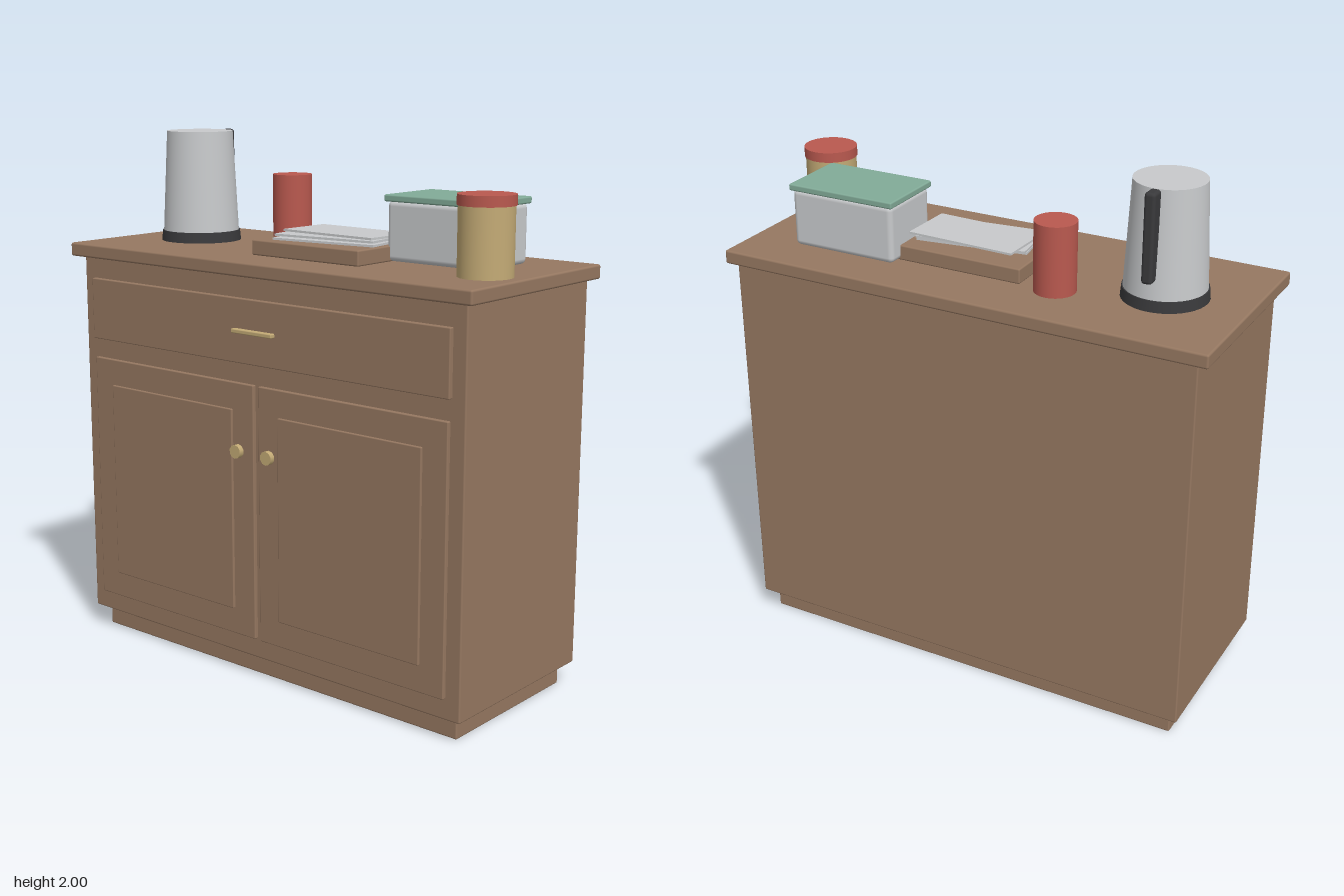
import * as THREE from 'three';
import { RoundedBoxGeometry } from 'three/addons/geometries/RoundedBoxGeometry.js';

const mat = (name, color) => {
  const m = new THREE.MeshStandardMaterial({ color });
  m.name = name;
  return m;
};

export function createModel() {
  const wood = mat('wood', 0x967861);
  const brass = mat('brass', 0xc4ab76);
  const steel = mat('pale grey', 0xc8cacc);
  const dark = mat('dark plastic', 0x3a3a3c);
  const red = mat('red', 0xb9594f);
  const green = mat('green', 0x82ab98);

  const model = new THREE.Group();
  model.name = 'sideboard';

  const add = (parent, name, geometry, material, x, y, z) => {
    const mesh = new THREE.Mesh(geometry, material);
    mesh.name = name;
    mesh.position.set(x, y, z);
    parent.add(mesh);
    return mesh;
  };
  const group = (name) => {
    const g = new THREE.Group();
    g.name = name;
    model.add(g);
    return g;
  };
  // Box given by its limits on each axis, with softened edges
  const slab = (parent, name, material, [x0, x1], [y0, y1], [z0, z1], r = 0.006) => {
    const size = [x1 - x0, y1 - y0, z1 - z0];
    const geometry = r ? new RoundedBoxGeometry(...size, 2, r) : new THREE.BoxGeometry(...size);
    return add(parent, name, geometry, material, (x0 + x1) / 2, (y0 + y1) / 2, (z0 + z1) / 2);
  };
  // Upright cylinder or cone between two heights
  const drum = (parent, name, material, rTop, rBottom, y0, y1, x, z) =>
    add(parent, name, new THREE.CylinderGeometry(rTop, rBottom, y1 - y0, 40), material, x, (y0 + y1) / 2, z);

  // Cabinet carcass
  const cabinet = group('cabinet');
  slab(cabinet, 'plinth', wood, [-0.87, 0.87], [0, 0.09], [-0.335, 0.315]);
  slab(cabinet, 'body', wood, [-0.91, 0.91], [0.083, 1.525], [-0.375, 0.357]);
  slab(cabinet, 'worktop', wood, [-0.95, 0.95], [1.523, 1.575], [-0.395, 0.395], 0.008);

  // Drawer with bar handle
  slab(cabinet, 'drawerFront', wood, [-0.855, 0.855], [1.205, 1.442], [0.35, 0.375], 0.004);
  slab(cabinet, 'drawerHandle', brass, [-0.097, 0.097], [1.317, 1.333], [0.37, 0.395], 0.004);

  // Mirrored doors with raised panels and knobs
  for (const side of [-1, 1]) {
    const door = group(side > 0 ? 'leftDoor' : 'rightDoor');
    const span = (a, b) => (side > 0 ? [a, b] : [-b, -a]);
    slab(door, 'doorFront', wood, span(0.012, 0.85), [0.16, 1.13], [0.35, 0.372], 0.004);
    slab(door, 'doorPanel', wood, span(0.112, 0.75), [0.26, 1.03], [0.366, 0.381], 0.004);
    const stem = add(door, 'knobStem', new THREE.CylinderGeometry(0.012, 0.012, 0.02, 12), brass, side * 0.075, 0.88, 0.379);
    const knob = add(door, 'knob', new THREE.CylinderGeometry(0.026, 0.026, 0.02, 10), brass, side * 0.075, 0.88, 0.394);
    stem.rotation.x = knob.rotation.x = Math.PI / 2;
  }

  // Kettle
  const kettle = group('kettle');
  drum(kettle, 'kettleBase', dark, 0.152, 0.156, 1.575, 1.615, -0.64, -0.017);
  drum(kettle, 'kettleBody', steel, 0.128, 0.148, 1.612, 2.0, -0.64, -0.017);
  slab(kettle, 'kettleHandle', dark, [-0.66, -0.62], [1.68, 2.0], [-0.197, -0.138], 0.012);

  // Red tin
  drum(model, 'tin', red, 0.076, 0.076, 1.583, 1.84, -0.293, -0.17);

  // Tray with loose sheets
  slab(model, 'tray', wood, [-0.155, 0.345], [1.575, 1.632], [-0.17, 0.215]);
  const papers = group('papers');
  const sheets = [
    [0.11, 1.637, 0.04, 0.14],
    [0.105, 1.649, 0.025, 0.11],
    [0.112, 1.66, -0.006, -0.035],
  ];
  for (const [x, y, z, turn] of sheets) {
    add(papers, 'sheet', new THREE.BoxGeometry(0.425, 0.008, 0.22), steel, x, y, z).rotation.y = turn;
  }

  // Lidded storage box
  slab(model, 'storageBox', steel, [0.33, 0.753], [1.576, 1.792], [-0.227, 0.037], 0.02);
  slab(model, 'storageBoxLid', green, [0.323, 0.76], [1.788, 1.813], [-0.235, 0.045], 0.006);

  // Canister
  const canister = group('canister');
  drum(canister, 'canisterBody', brass, 0.096, 0.096, 1.575, 1.815, 0.812, 0.12);
  drum(canister, 'canisterLid', red, 0.1, 0.1, 1.813, 1.85, 0.812, 0.12);

  return model;
}
